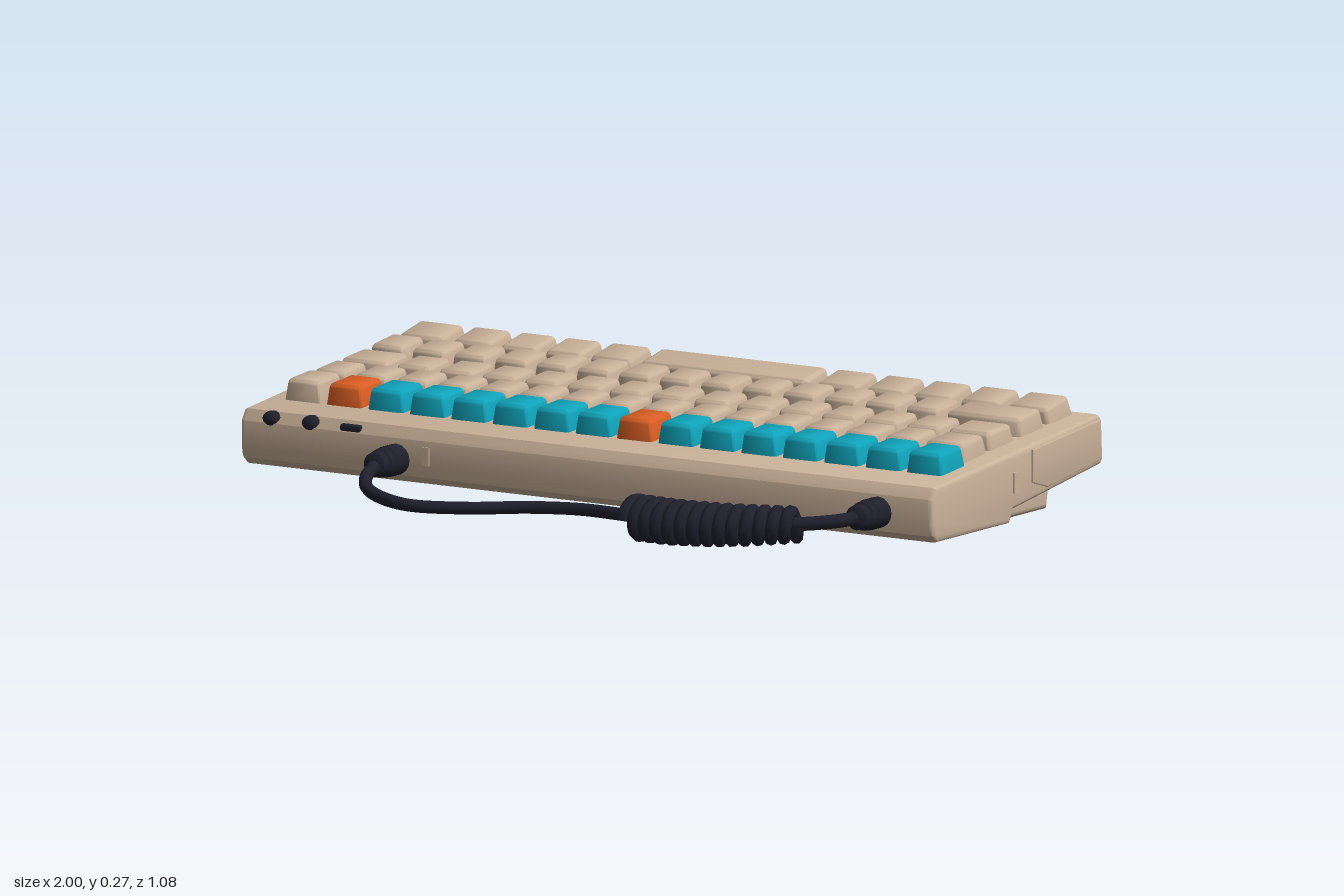
import * as THREE from 'three';
import { mergeVertices, toCreasedNormals } from 'three/addons/utils/BufferGeometryUtils.js';
import { RoundedBoxGeometry } from 'three/addons/geometries/RoundedBoxGeometry.js';

const paint = (name, color) => {
  const m = new THREE.MeshStandardMaterial({ color });
  m.name = name;
  return m;
};

// Helix wound around a guide curve
class CoilCurve extends THREE.Curve {
  constructor(guide, turns, radiusAt) {
    super();
    Object.assign(this, { guide, turns, radiusAt });
  }
  getPoint(t, target = new THREE.Vector3()) {
    const p = this.guide.getPointAt(t);
    const side = this.guide.getTangentAt(t).cross(new THREE.Vector3(0, 1, 0)).normalize();
    const a = t * this.turns * Math.PI * 2, r = this.radiusAt(t);
    target.copy(p).addScaledVector(side, Math.cos(a) * r);
    target.y += Math.sin(a) * r;
    return target;
  }
}

const curve = (pts) => new THREE.CatmullRomCurve3(pts.map((p) => new THREE.Vector3(...p)));

// Extrude a [z, y] profile along x, centred, with a bevelled rim
function slab(points, width, bevel) {
  const shape = new THREE.Shape(points.map(([z, y]) => new THREE.Vector2(-z, y)));
  const geo = new THREE.ExtrudeGeometry(shape, {
    depth: width - 2 * bevel, bevelEnabled: bevel > 0, bevelSize: bevel,
    bevelThickness: bevel, bevelOffset: -bevel, bevelSegments: 3,
  });
  geo.translate(0, 0, -(width - 2 * bevel) / 2);
  geo.rotateY(Math.PI / 2);
  return toCreasedNormals(geo, 0.6);
}

// Keycap narrowing toward its top
function keycap(width, height, depth) {
  let geo = new RoundedBoxGeometry(width, height, depth, 2, 0.012);
  geo.deleteAttribute('normal');
  geo.deleteAttribute('uv');
  geo = mergeVertices(geo, 1e-5);
  const p = geo.attributes.position;
  for (let i = 0; i < p.count; i++) {
    const up = p.getY(i) / height + 0.5;
    p.setX(i, p.getX(i) * (1 - (up * 0.026) / width));
    p.setZ(i, p.getZ(i) * (1 - (up * 0.014) / depth) - up * 0.002);
  }
  return toCreasedNormals(geo, 0.8);
}

export function createModel() {
  const beige = paint('beige plastic', 0xcab29a);
  const teal = paint('teal keys', 0x10a5bc);
  const orange = paint('orange keys', 0xdb5f24);
  const dark = paint('dark rubber', 0x20202e);

  const model = new THREE.Group();
  const add = (name, geo, mat, x = 0, y = 0, z = 0, parent = model) => {
    const mesh = new THREE.Mesh(geo, mat);
    mesh.name = name;
    mesh.position.set(x, y, z);
    parent.add(mesh);
    return mesh;
  };

  // Wedge-shaped case and the foot beneath its rear
  add('case', slab([
    [0.172, 0.018], [0.19, 0.035], [0.195, 0.06], [0.195, 0.125], [0.178, 0.152],
    [-0.24, 0.196], [-0.53, 0.226], [-0.541, 0.218], [-0.548, 0.112], [-0.54, 0.104],
    [-0.16, 0.05], [-0.145, 0.018],
  ], 1.99, 0.012), beige);
  add('rearFoot', slab([
    [-0.1, 0.018], [-0.1, 0.09], [-0.37, 0.09], [-0.37, 0.07], [-0.36, 0.018],
  ], 1.92, 0.015), beige);

  // Raised rear cheek and small latch on each side
  for (const s of [-1, 1]) {
    add('sideCheek', slab([
      [-0.235, 0.105], [-0.235, 0.185], [-0.53, 0.215], [-0.535, 0.118], [-0.3, 0.085],
    ], 0.01, 0.002), beige, s * 0.995);
    add('sideLatch', new THREE.BoxGeometry(0.008, 0.05, 0.022), beige, s * 0.996, 0.115, -0.165);
  }

  // Key rows: centre z, top height, tilt, and key widths as proportions
  const ones = (n) => Array(n).fill(1);
  const rows = [
    { z: -0.458, top: 0.262, tilt: 0.21, widths: [1.25, 1.1, 1.05, 1.05, 1.15, 4.1, 1.15, 1.1, 1.1, 1.1, 1.15], right: 0.94 },
    { z: -0.335, top: 0.251, tilt: 0.12, widths: [...ones(14), 2], right: 0.94 },
    { z: -0.205, top: 0.235, tilt: 0.09, widths: [1.3, ...ones(13), 1.2], right: 0.94 },
    { z: -0.087, top: 0.225, tilt: 0.09, widths: [...ones(15), 1.15], right: 0.94 },
    { z: 0.029, top: 0.219, tilt: 0.08, widths: ones(16), right: 0.953, coloured: true },
  ];
  const left = -0.952, height = 0.075;
  rows.forEach((row, r) => {
    const group = new THREE.Group();
    group.name = `keyRow${r + 1}`;
    model.add(group);
    const unit = (row.right - left) / row.widths.reduce((a, b) => a + b);
    let x = left;
    row.widths.forEach((w, i) => {
      const size = w * unit;
      let mat = beige;
      if (row.coloured && i > 0) mat = i === 1 || i === 8 ? orange : teal;
      const key = add(w > 3 ? 'spaceBar' : 'key', keycap(size - 0.007, height, 0.112), mat,
        x + size / 2, row.top - height / 2, row.z, group);
      key.rotation.x = row.tilt;
      x += size;
    });
  });

  // Knobs and slot along the front edge
  for (const x of [-0.91, -0.797]) {
    const knob = add('frontKnob', new THREE.SphereGeometry(0.028, 16, 10), dark, x, 0.133, 0.179);
    knob.scale.set(1, 0.75, 0.75);
  }
  add('frontSlot', new RoundedBoxGeometry(0.062, 0.022, 0.028, 2, 0.007), dark, -0.68, 0.133, 0.18);
  add('frontTab', new THREE.BoxGeometry(0.02, 0.045, 0.008), beige, -0.46, 0.088, 0.195);

  // Round pad on the underside
  const pad = add('bottomPad', new THREE.CylinderGeometry(0.05, 0.05, 0.008, 20), dark, 0.53, 0.016, 0.1);
  pad.scale.z = 0.8;

  // Ribbed cable plugs
  const plugProfile = [
    [0, 0], [0.03, 0], [0.038, 0.008], [0.038, 0.055], [0.033, 0.06], [0.036, 0.066],
    [0.035, 0.078], [0.03, 0.082], [0.032, 0.088], [0.03, 0.104], [0.016, 0.112], [0, 0.112],
  ].map(([a, b]) => new THREE.Vector2(a, b));
  const plugGeo = toCreasedNormals(new THREE.LatheGeometry(plugProfile, 16).rotateX(Math.PI / 2), 0.7);
  add('leftPlug', plugGeo, dark, 0.84, 0.082, 0.188);
  add('rightPlug', plugGeo, dark, -0.545, 0.074, 0.188);

  // Loose cable, then coil, then the short tail to the other plug
  const cable = curve([
    [-0.545, 0.074, 0.28], [-0.522, 0.06, 0.36], [-0.45, 0.045, 0.455], [-0.305, 0.035, 0.518],
    [-0.155, 0.036, 0.482], [-0.02, 0.042, 0.42], [0.11, 0.048, 0.402], [0.245, 0.054, 0.43],
    [0.34, 0.06, 0.468],
  ]);
  add('cable', new THREE.TubeGeometry(cable, 64, 0.016, 10), dark);
  const guide = curve([[0.32, 0.06, 0.472], [0.45, 0.06, 0.475], [0.6, 0.064, 0.447], [0.74, 0.07, 0.385]]);
  const coil = new CoilCurve(guide, 14, (t) => 0.042 - 0.012 * t * t);
  add('coil', new THREE.TubeGeometry(coil, 280, 0.0165, 8), dark);
  const tail = curve([[0.71, 0.069, 0.4], [0.77, 0.074, 0.372], [0.823, 0.08, 0.335], [0.84, 0.082, 0.28]]);
  add('cableTail', new THREE.TubeGeometry(tail, 20, 0.017, 10), dark);

  return model;
}
